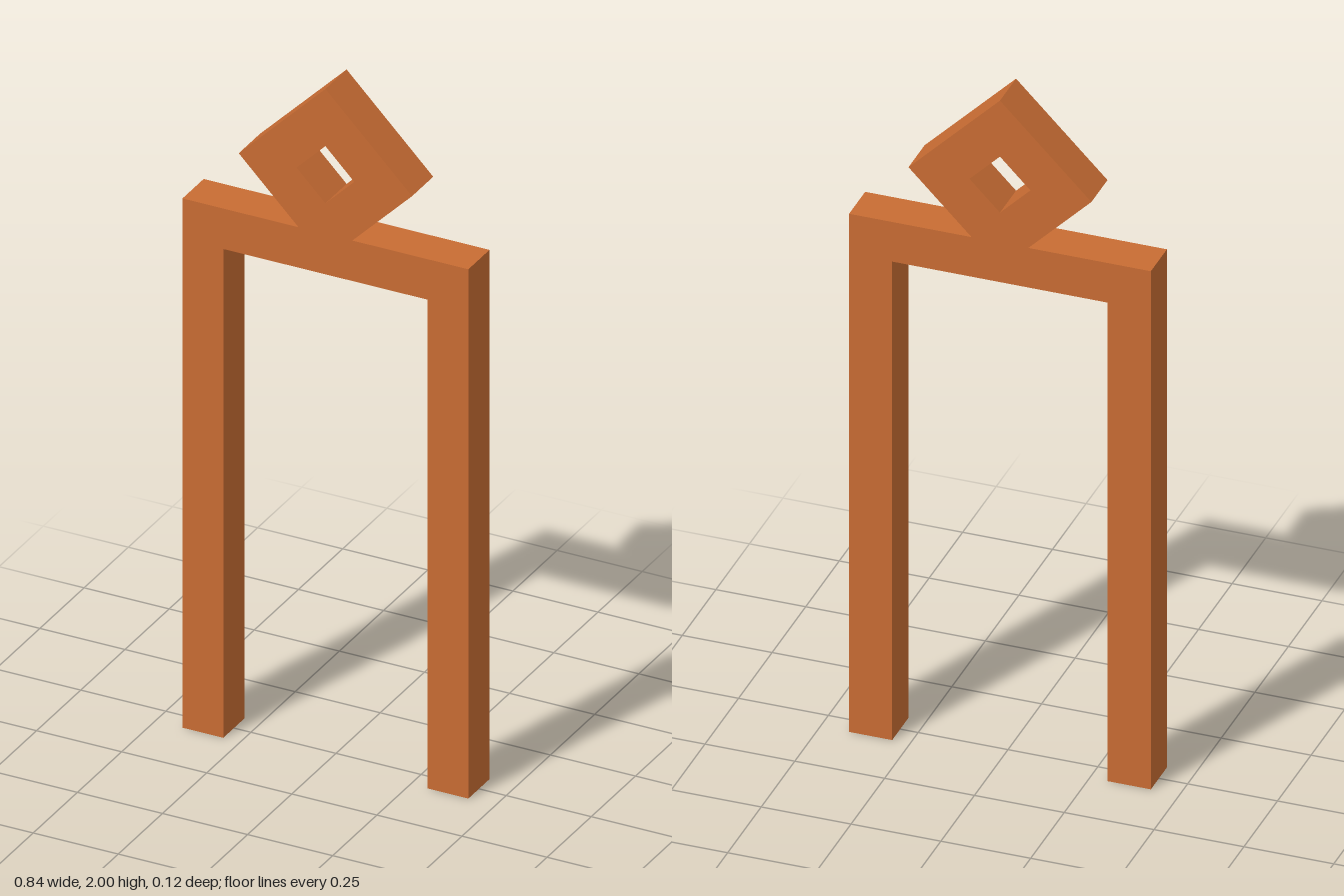
import * as THREE from 'three';

const T = 0.12; // bar thickness

export function createModel() {
  const group = new THREE.Group();
  const material = new THREE.MeshStandardMaterial({ color: 0xc86c33, flatShading: true });

  const toPoints = (pairs) => pairs.map(([x, y]) => new THREE.Vector2(x, y));

  // Extrude a flat outline to the bar thickness, centred on z = 0
  function addPlate(name, outline, hole) {
    const shape = new THREE.Shape(toPoints(outline));
    if (hole) shape.holes.push(new THREE.Path(toPoints(hole)));
    const geometry = new THREE.ExtrudeGeometry(shape, { depth: T, bevelEnabled: false });
    geometry.translate(0, 0, -T / 2);
    const mesh = new THREE.Mesh(geometry, material);
    mesh.name = name;
    group.add(mesh);
  }

  // Two posts joined by a crossbeam
  const w = 0.42, top = 1.57;
  addPlate('archFrame', [
    [-w, 0], [-w + T, 0], [-w + T, top - T], [w - T, top - T],
    [w - T, 0], [w, 0], [w, top], [-w, top],
  ]);

  // Square ring on its corner, its lowest corner cut off where it meets the beam
  const r = 1.5 * T * Math.SQRT2, h = r / 3, cy = 2 - r;
  const foot = top - (cy - r);
  addPlate('diamondRing',
    [[-foot, top], [foot, top], [r, cy], [0, 2], [-r, cy]],
    [[0, cy - h], [-h, cy], [0, cy + h], [h, cy]]);

  return group;
}
